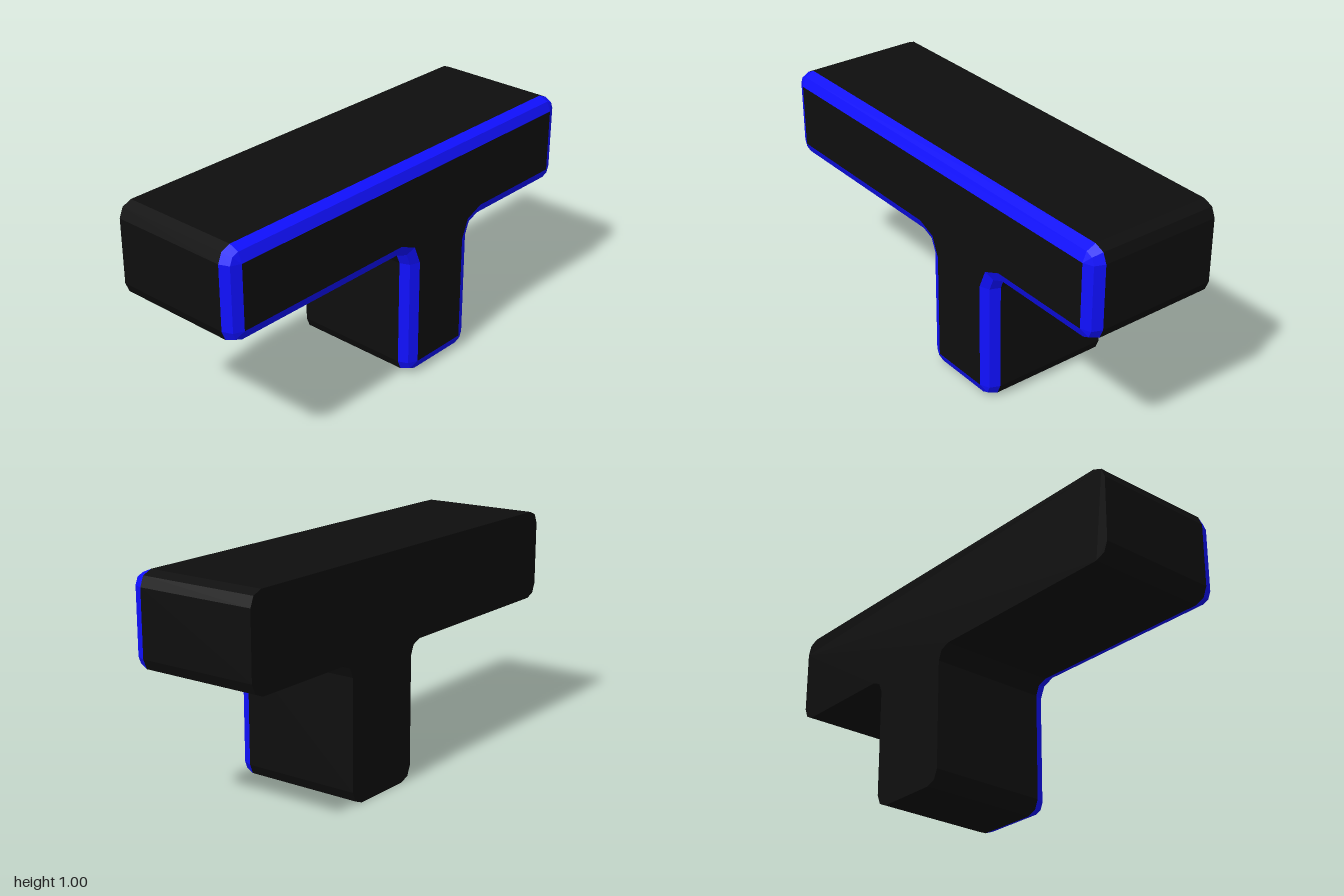
import * as THREE from 'three';

const R = 0.06; // corner radius and bevel size
const BACK = -0.3, FRONT = 0.3;

// Corners of the T, counter-clockwise: arc centre, start angle, sweep (in quarter turns; -1 = concave)
const CORNERS = [
  [0.06, 0.06, 2, 1], [0.34, 0.06, 3, 1], [0.46, 0.54, 2, -1], [0.94, 0.66, 3, 1],
  [0.94, 0.94, 0, 1], [-0.94, 0.94, 1, 1], [-0.94, 0.66, 2, 1], [-0.06, 0.54, 1, -1],
];

// T outline shrunk by an inset, each corner cut in two segments
function outline(inset) {
  const points = [];
  for (const [cx, cy, start, sweep] of CORNERS) {
    const r = R - sweep * inset;
    for (let i = 0; i <= 2; i++) {
      const a = (start + sweep * i / 2) * Math.PI / 2;
      points.push(new THREE.Vector2(cx + r * Math.cos(a), cy + r * Math.sin(a)));
    }
  }
  return points;
}

// Band of flat facets through successive [inset, z] outlines, back to front
function band(levels) {
  const pos = [];
  const loops = levels.map(([inset, z]) => outline(inset).map((p) => [p.x, p.y, z]));
  for (let k = 0; k < loops.length - 1; k++) {
    const a = loops[k], b = loops[k + 1];
    for (let i = 0; i < a.length; i++) {
      const j = (i + 1) % a.length;
      pos.push(...a[i], ...a[j], ...b[j]);
      // Skip the second triangle where a corner closes to a point
      if (Math.hypot(b[i][0] - b[j][0], b[i][1] - b[j][1]) > 1e-6) pos.push(...a[i], ...b[j], ...b[i]);
    }
  }
  const geo = new THREE.BufferGeometry();
  geo.setAttribute('position', new THREE.Float32BufferAttribute(pos, 3));
  geo.computeVertexNormals();
  return geo;
}

// Flat T face, with the pointed corners merged to single points
function cap(inset, z) {
  const pts = outline(inset).filter((p, i, all) => i === 0 || p.distanceTo(all[i - 1]) > 1e-6);
  return new THREE.ShapeGeometry(new THREE.Shape(pts)).translate(0, 0, z);
}

export function createModel() {
  const model = new THREE.Group();
  const black = new THREE.MeshStandardMaterial({ color: 0x0e0e0e, flatShading: true });
  const blue = new THREE.MeshStandardMaterial({ color: 0x1010ff, flatShading: true });
  const add = (name, geo, mat) => {
    const mesh = new THREE.Mesh(geo, mat);
    mesh.name = name;
    model.add(mesh);
  };

  // Black block: side walls, front face and back face
  add('sideWalls', band([[0, BACK], [0, FRONT - R]]), black);
  add('frontFace', cap(R, FRONT), black);
  const back = cap(0, BACK);
  back.index.array.reverse();
  back.computeVertexNormals();
  add('backFace', back, black);

  // Blue two-step rounded bevel around the front face
  const d = R * (1 - Math.SQRT1_2);
  add('frontBevel', band([[0, FRONT - R], [d, FRONT - d], [R, FRONT]]), blue);

  return model;
}
